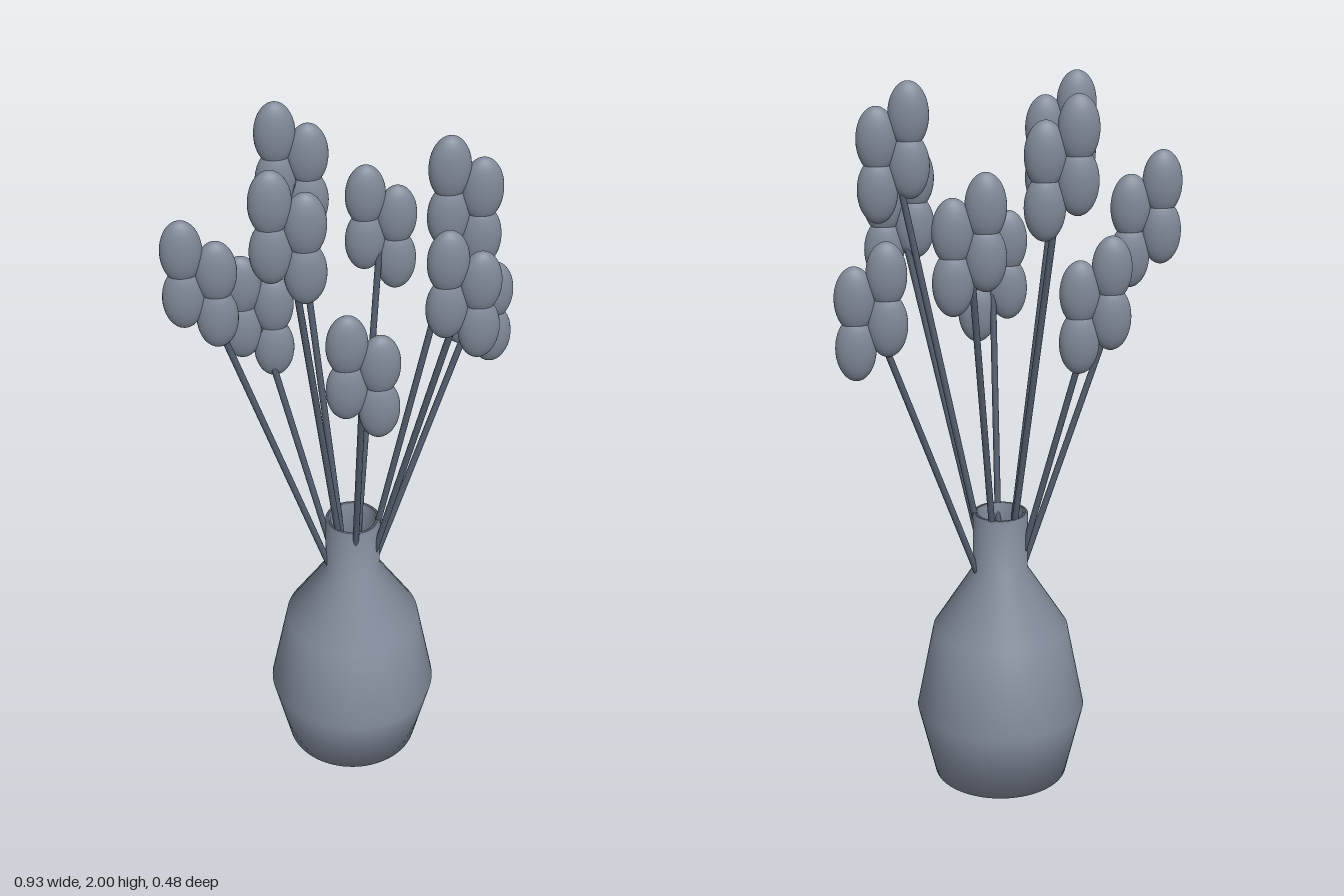
import * as THREE from 'three';

const vaseMaterial = new THREE.MeshStandardMaterial({ color: 0x848d9d });
const petalMaterial = new THREE.MeshStandardMaterial({ color: 0x7f8897 });
const stemMaterial = new THREE.MeshStandardMaterial({ color: 0x525c6c });
const VASE_X = 0.023;

// Hollow vase: outer wall upwards, over the rim, then the inner wall downwards.
// Normals stay smooth around the foot and the rim.
function makeVase() {
  const profile = [
    [0, 0], [0.19, 0], [0.239, 0.21], [0.191, 0.455], [0.077, 0.635], [0.077, 0.803],
    [0.063, 0.803], [0.063, 0.63], [0.175, 0.45], [0.222, 0.21], [0.176, 0.02], [0, 0.02],
  ].map(([r, y]) => new THREE.Vector2(r, y));
  const vase = new THREE.Mesh(new THREE.LatheGeometry(profile, 64), vaseMaterial);
  vase.name = 'vase';
  vase.position.x = VASE_X;
  return vase;
}

// Straight thin rod between two points
function makeStem(from, to) {
  const dir = to.clone().sub(from);
  const stem = new THREE.Mesh(new THREE.CylinderGeometry(0.009, 0.009, dir.length(), 12), stemMaterial);
  stem.name = 'stem';
  stem.position.copy(from).addScaledVector(dir, 0.5);
  stem.quaternion.setFromUnitVectors(new THREE.Vector3(0, 1, 0), dir.normalize());
  return stem;
}

// Two staggered columns of two flattened oval petals
const petalGeometry = new THREE.SphereGeometry(1, 28, 20).scale(0.054, 0.088, 0.032);
function makeBlossom(center) {
  const blossom = new THREE.Group();
  blossom.name = 'blossom';
  blossom.position.copy(center);
  for (const side of [-1, 1]) {
    for (const level of [-1, 1]) {
      const petal = new THREE.Mesh(petalGeometry, petalMaterial);
      petal.name = 'petal';
      petal.position.set(side * 0.042, level * 0.067 - side * 0.032, 0);
      blossom.add(petal);
    }
  }
  return blossom;
}

export function createModel() {
  const model = new THREE.Group();
  model.name = 'vaseWithFlowers';
  model.add(makeVase());

  // Blossom centres in three height tiers
  const blossoms = [
    [-0.114, 1.812, -0.2], [-0.157, 1.812, 0.157], [0.299, 1.812, 0.032],
    [0.12, 1.62, -0.2], [-0.372, 1.62, 0.032], [0.281, 1.62, 0.157],
    [-0.219, 1.425, -0.108], [0.37, 1.425, -0.108], [0.023, 1.425, 0.207],
  ];
  const root = new THREE.Vector3(VASE_X, 0.44, 0);
  for (const p of blossoms) {
    const center = new THREE.Vector3(...p);
    const flower = new THREE.Group();
    flower.name = 'flower';
    flower.add(makeStem(root, center), makeBlossom(center));
    model.add(flower);
  }
  return model;
}
